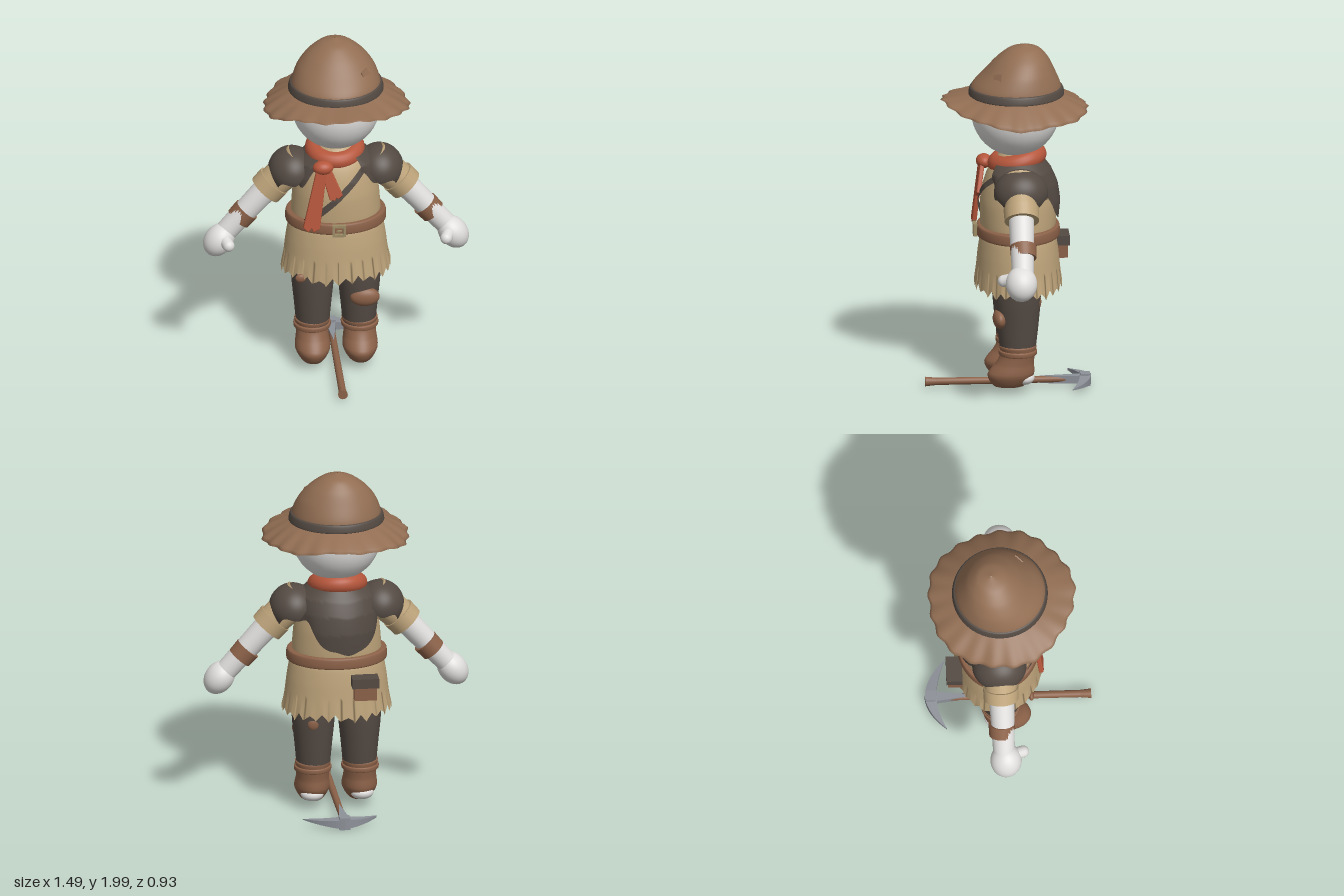
import * as THREE from 'three';
import { ParametricGeometry } from 'three/addons/geometries/ParametricGeometry.js';

const { sin, cos, abs, PI, max, sqrt } = Math;
const lerp = THREE.MathUtils.lerp;
const V = (x, y, z) => new THREE.Vector3(x, y, z);
const TAU = PI * 2;

export function createModel() {
  const root = new THREE.Group();
  const paint = (name, color) => {
    const m = new THREE.MeshStandardMaterial({ color, side: THREE.DoubleSide });
    m.name = name;
    return m;
  };
  const felt = paint('brown felt', 0x926e53), leather = paint('leather', 0x8b6148);
  const dark = paint('dark cloth', 0x544a43), tan = paint('tan cloth', 0xbda37a);
  const body = paint('pale body', 0xdedddb), red = paint('red scarf cloth', 0xb5563b);
  const steel = paint('steel', 0x8d9198), brass = paint('dull brass', 0x9c8c66);

  const add = (name, geo, mat, x = 0, y = 0, z = 0) => {
    const m = new THREE.Mesh(geo, mat);
    m.name = name;
    m.position.set(x, y, z);
    root.add(m);
    return m;
  };
  const blob = (name, mat, p, r) => {
    const m = add(name, new THREE.SphereGeometry(1, 32, 20), mat, ...p);
    m.scale.set(...r);
    return m;
  };
  // Tapered cylinder between two points
  const rod = (name, mat, a, b, ra, rb) => {
    const d = b.clone().sub(a);
    const m = add(name, new THREE.CylinderGeometry(rb, ra, d.length(), 28), mat, ...a.clone().lerp(b, 0.5));
    m.quaternion.setFromUnitVectors(V(0, 1, 0), d.normalize());
    return m;
  };
  // Surface around the y axis from [y, rx, rz, centre z] sections, bottom to top
  const rings = (name, mat, secs, x = 0, hem = null) => {
    const size = new THREE.CatmullRomCurve3(secs.map(s => V(s[1], s[0], s[2])), false, 'catmullrom', 0.4);
    const mid = new THREE.CatmullRomCurve3(secs.map(s => V(s[3] ?? -0.05, 0, 0)), false, 'catmullrom', 0.4);
    const geo = new ParametricGeometry((u, v, t) => {
      const a = u * TAU, p = size.getPoint(v);
      const y = p.y + (hem ? hem(a) * max(0, 1 - v * 3) : 0);
      t.set(p.x * sin(a), y, mid.getPoint(v).x + p.z * cos(a));
    }, hem ? 208 : 48, 24);
    return add(name, geo, mat, x);
  };

  // Head
  blob('head', body, [0, 1.61, -0.035], [0.25, 0.25, 0.247]);

  // Hat: domed crown leaning back, band, wavy drooping brim, stitched patch
  rings('hatCrown', felt, [
    [1.69, 0.258, 0.262, -0.035], [1.77, 0.247, 0.248, -0.04], [1.85, 0.215, 0.195, -0.06],
    [1.92, 0.16, 0.145, -0.075], [1.975, 0.085, 0.085, -0.085], [2.0, 0.003, 0.003, -0.09]]);
  rings('hatBand', dark, [
    [1.712, 0.25, 0.25, -0.04], [1.716, 0.268, 0.268, -0.04],
    [1.755, 0.258, 0.26, -0.04], [1.762, 0.24, 0.24, -0.04]]);
  add('hatBrim', new ParametricGeometry((u, v, t) => {
    const a = u * TAU;
    const edge = 0.408 + 0.007 * sin(a * 21) + 0.007 * sin(a * 5 + 1);
    const rim = 1.637 + 0.026 * cos(a) + 0.028 * cos(2 * a) + 0.006 * sin(a * 7);
    const r = lerp(edge, 0.245, v);
    t.set(r * sin(a), lerp(rim, 1.72, v ** 0.8), -0.035 + r * cos(a));
  }, 168, 12), felt);
  const patch = add('hatPatch', new THREE.BoxGeometry(0.055, 0.07, 0.008), felt, 0.163, 1.835, 0.075);
  patch.lookAt(0.42, 1.98, 0.33);
  patch.rotateZ(0.25);

  // Tunic body and ragged skirt
  const torso = [[0.9, 0.25, 0.205], [0.98, 0.25, 0.212], [1.1, 0.24, 0.212],
    [1.2, 0.222, 0.195], [1.28, 0.2, 0.165], [1.38, 0.1, 0.1]];
  const torsoAt = y => {
    let i = 0;
    while (i < torso.length - 2 && y > torso[i + 1][0]) i++;
    const k = (y - torso[i][0]) / (torso[i + 1][0] - torso[i][0]);
    return [lerp(torso[i][1], torso[i + 1][1], k), lerp(torso[i][2], torso[i + 1][2], k)];
  };
  rings('tunicBody', tan, torso);
  rings('tunicSkirt', tan, [[0.61, 0.308, 0.246], [0.7, 0.292, 0.236], [0.8, 0.28, 0.226],
    [0.88, 0.266, 0.214], [0.93, 0.25, 0.2]], 0, a => {
    const k = a / TAU * 26;
    const tooth = 2 * abs(k - Math.floor(k) - 0.5);
    return (0.5 - tooth) * (0.036 + 0.016 * sin(Math.floor(k) * 2.3)) + 0.006 * sin(a * 5);
  });
  blob('hemPatch', leather, [-0.21, 0.612, 0.13], [0.03, 0.025, 0.015]);

  // Belt with square buckle
  rings('belt', leather, [[0.897, 0.25, 0.2], [0.902, 0.281, 0.232], [0.957, 0.278, 0.23], [0.964, 0.245, 0.2]]);
  const frame = new THREE.Shape([[-1, -1], [1, -1], [1, 1], [-1, 1]].map(p => new THREE.Vector2(p[0] * 0.037, p[1] * 0.035)));
  frame.holes.push(new THREE.Path([[-1, -1], [-1, 1], [1, 1], [1, -1]].map(p => new THREE.Vector2(p[0] * 0.023, p[1] * 0.021))));
  add('beltBuckle', new THREE.ExtrudeGeometry(frame, { depth: 0.022, bevelEnabled: false }), brass, 0, 0.93, 0.18);
  add('bucklePin', new THREE.BoxGeometry(0.03, 0.008, 0.01), brass, 0, 0.93, 0.195);

  // Belt pouch on the back
  add('pouch', new THREE.BoxGeometry(0.125, 0.1, 0.08), leather, -0.13, 0.78, -0.295);
  add('pouchFlap', new THREE.BoxGeometry(0.15, 0.055, 0.09), dark, -0.13, 0.832, -0.3);

  // Mantle: open at the front, scalloped, with a long lobe down the back
  add('mantle', new ParametricGeometry((u, v, t) => {
    const a = lerp(0.62, TAU - 0.62, u), f = abs(a - PI);
    const lobe = THREE.MathUtils.smoothstep(1.05 - abs(a - PI - 0.15), 0, 0.75);
    const front = THREE.MathUtils.smoothstep(f, 2.15, 2.52);
    const low = 1.155 + 0.012 * sin(a * 9) - 0.165 * lobe + 0.1 * front;
    const y = lerp(low, 1.36, v), [rx, rz] = torsoAt(y);
    const puff = 0.014 + 0.012 * sin(v * PI);
    t.set((rx + puff) * sin(a), y, -0.05 + (rz + puff) * cos(a));
  }, 96, 24), dark);

  // Diagonal chest strap from left shoulder to right hip
  add('chestStrap', new ParametricGeometry((u, v, t) => {
    const x = lerp(-0.2, 0.16, u) + 0.026 * (0.5 - v), y = lerp(0.93, 1.275, u) + 0.026 * (v - 0.5);
    const [rx, rz] = torsoAt(y);
    t.set(x, y, -0.036 + rz * sqrt(max(0, 1 - (x / rx) ** 2)));
  }, 30, 3), dark);

  // Neck scarf, knot and two notched tails
  const scarf = add('scarf', new THREE.TorusGeometry(0.115, 0.053, 18, 48), red, -0.005, 1.335, -0.045);
  scarf.rotation.x = PI / 2 + 0.24;
  blob('scarfKnot', red, [-0.085, 1.3, 0.135], [0.058, 0.04, 0.045]);
  const tail = (name, len, w, x, z, turn, lean) => {
    const s = new THREE.Shape([[-0.024, 0], [0.024, 0], [w, -len * 0.93], [w * 0.35, -len * 0.99],
      [0, -len * 0.93], [-w * 0.4, -len], [-w, -len * 0.95]].map(p => new THREE.Vector2(...p)));
    const geo = new THREE.ExtrudeGeometry(s, { depth: 0.014, bevelSize: 0.005, bevelThickness: 0.006, bevelSegments: 2 });
    add(name, geo, red, x, 1.29, z).rotation.set(lean, 0, turn);
  };
  tail('scarfTailLong', 0.365, 0.042, -0.095, 0.145, -0.17, -0.1);
  tail('scarfTailShort', 0.18, 0.034, -0.07, 0.14, 0.33, -0.16);

  for (const s of [-1, 1]) {
    const side = s > 0 ? 'left' : 'right';
    const P = (x, y, z = -0.045) => V(s * x, y, z);

    // Shoulder cape with scalloped rim
    const cape = add(side + 'ShoulderCape', new ParametricGeometry((u, v, t) => {
      const a = u * TAU, b = lerp(1.72 + 0.13 * cos(a * 6), 0.002, v);
      t.set(0.135 * sin(b) * sin(a), 0.135 * cos(b), 0.152 * sin(b) * cos(a));
    }, 60, 18), dark, s * 0.245, 1.203, -0.05);
    cape.rotation.z = -s * 0.35;

    // Sleeve, cuff, arm, wristband and mitten hand
    rod(side + 'Sleeve', tan, P(0.2, 1.27), P(0.37, 1.115), 0.1, 0.09);
    rod(side + 'SleeveCuff', tan, P(0.345, 1.14), P(0.395, 1.085), 0.1, 0.097);
    rod(side + 'Arm', body, P(0.3, 1.195), P(0.635, 0.82, -0.035), 0.075, 0.06);
    rod(side + 'Wristband', leather, P(0.498, 0.967), P(0.546, 0.912), 0.074, 0.071);
    blob(side + 'Hand', body, P(0.656, 0.795, -0.025), [0.08, 0.102, 0.088]).rotation.z = s * 0.65;
    const thumb = add(side + 'Thumb', new THREE.CapsuleGeometry(0.034, 0.07, 8, 16), body, ...P(0.622, 0.812, 0.04));
    thumb.quaternion.setFromUnitVectors(V(0, 1, 0), V(-s * 0.35, -0.3, 0.9).normalize());

    // Trouser leg and boot
    rings(side + 'TrouserLeg', dark, [[0.25, 0.092, 0.098, -0.04], [0.4, 0.106, 0.115, -0.04],
      [0.55, 0.12, 0.128, -0.04], [0.72, 0.122, 0.13, -0.04]], s * 0.13);
    rings(side + 'Boot', leather, [[0.048, 0.004, 0.004, 0.01], [0.055, 0.06, 0.085, 0.01], [0.12, 0.098, 0.13, 0],
      [0.19, 0.092, 0.105, -0.025], [0.24, 0.092, 0.097, -0.04], [0.285, 0.1, 0.104, -0.04],
      [0.293, 0.088, 0.09, -0.04]], s * 0.133);
    rings(side + 'BootStrap', leather, [[0.232, 0.088, 0.09, -0.04], [0.237, 0.103, 0.106, -0.04],
      [0.26, 0.104, 0.107, -0.04], [0.266, 0.088, 0.09, -0.04]], s * 0.133);
    blob(side + 'Heel', body, [s * 0.14, 0.1, -0.075], [0.065, 0.04, 0.058]);
  }
  blob('kneePatch', leather, [0.155, 0.45, 0.062], [0.083, 0.056, 0.04]);
  blob('backLegPatch', leather, [0.14, 0.54, -0.155], [0.035, 0.038, 0.016]);

  // Pickaxe lying on the ground under the feet
  rod('pickHandle', leather, V(0, 0.045, 0.44), V(0, 0.045, -0.45), 0.021, 0.018);
  rod('pickHandleEnd', leather, V(0, 0.045, 0.47), V(0, 0.045, 0.41), 0.027, 0.021);
  const blade = new THREE.Shape();
  blade.moveTo(-0.19, 0.34);
  blade.quadraticCurveTo(-0.1, 0.45, 0, 0.46);
  blade.quadraticCurveTo(0.12, 0.45, 0.225, 0.34);
  blade.quadraticCurveTo(0.1, 0.395, 0, 0.395);
  blade.quadraticCurveTo(-0.09, 0.395, -0.19, 0.34);
  const bladeGeo = new THREE.ExtrudeGeometry(blade, { depth: 0.05, bevelEnabled: false, curveSegments: 10 });
  const pos = bladeGeo.attributes.position;
  // Thin the blade towards its two tips
  for (let i = 0; i < pos.count; i++) {
    pos.setZ(i, (pos.getZ(i) - 0.025) * (1.1 - 4.4 * abs(pos.getX(i))));
  }
  bladeGeo.computeVertexNormals();
  add('pickBlade', bladeGeo, steel, 0, 0.045, 0).rotation.x = -PI / 2;
  add('pickSocket', new THREE.BoxGeometry(0.06, 0.07, 0.055), steel, 0, 0.045, -0.425);
  const langet = new THREE.Shape([[-0.03, 0.41], [0, 0.17], [0.03, 0.41]].map(p => new THREE.Vector2(...p)));
  add('pickLanget', new THREE.ExtrudeGeometry(langet, { depth: 0.044, bevelEnabled: false }), steel, 0, 0.023, 0).rotation.x = -PI / 2;
  return root;
}
